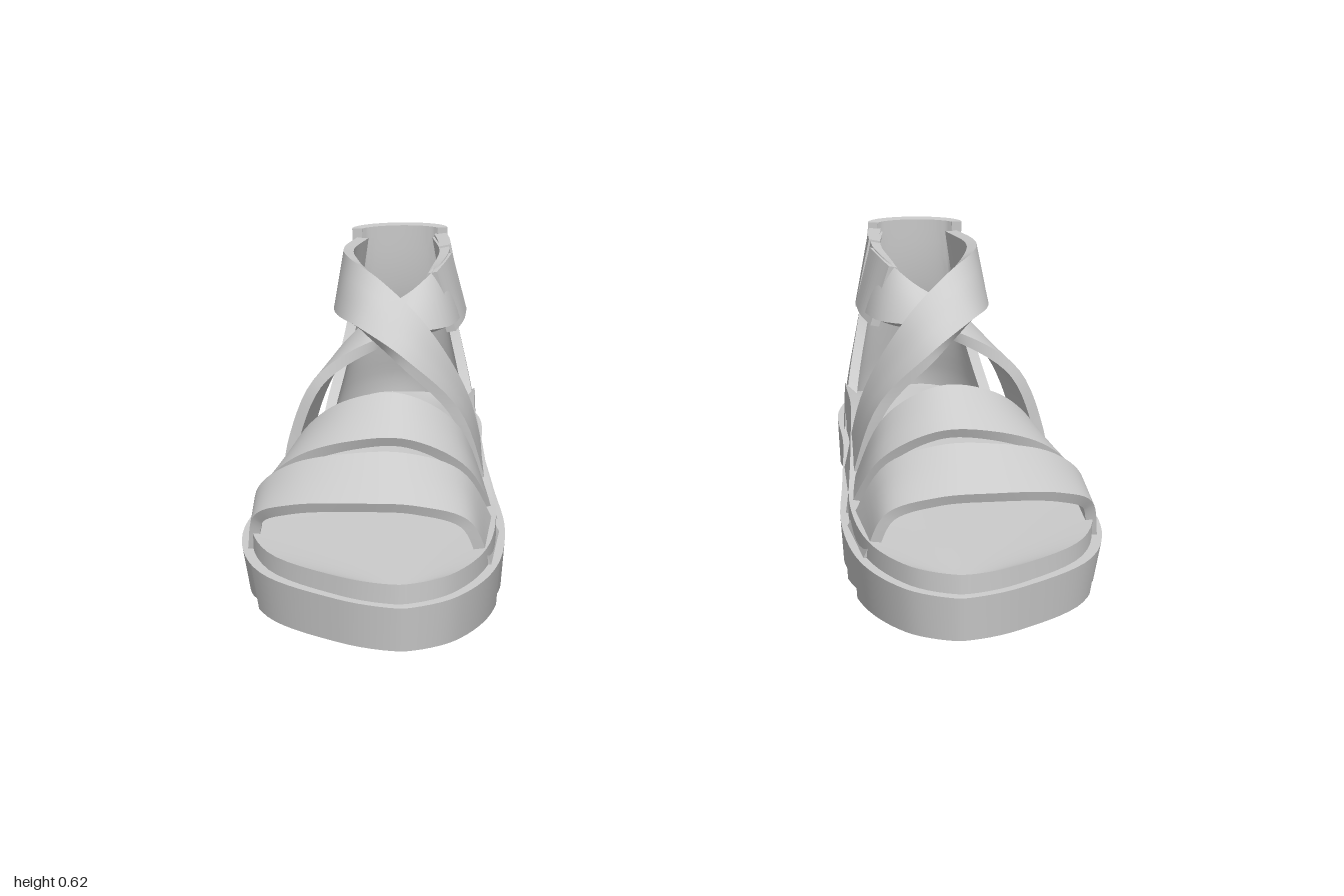
import * as THREE from 'three';
import { toCreasedNormals } from 'three/addons/utils/BufferGeometryUtils.js';

const V = (x, y, z) => new THREE.Vector3(x, y, z);
const lerp = THREE.MathUtils.lerp;
const smooth = THREE.MathUtils.smoothstep;
const material = new THREE.MeshStandardMaterial({ color: 0xcccccc, roughness: 0.7 });

// Joins closed cross-sections (equal, even point counts) into a capped solid
function loft(sections, crease = 0.6) {
  const n = sections[0].length, m = n / 2, last = (sections.length - 1) * n;
  const index = [];
  const quad = (a, b, c, d) => index.push(a, b, c, a, c, d);
  for (let i = 0; i < sections.length - 1; i++) {
    for (let j = 0; j < n; j++) {
      const k = (j + 1) % n;
      quad(i * n + j, i * n + k, (i + 1) * n + k, (i + 1) * n + j);
    }
  }
  for (let k = 0; k < m - 1; k++) {
    quad(k + 1, k, n - 1 - k, n - 2 - k);
    quad(last + k, last + k + 1, last + n - 2 - k, last + n - 1 - k);
  }
  const geo = new THREE.BufferGeometry().setFromPoints(sections.flat());
  geo.setIndex(index);
  return toCreasedNormals(geo.toNonIndexed(), crease);
}

// Thickens a surface f(u, v) inwards; its outside is du x dv
function shell(f, nu, nv, thickness) {
  const e = 0.002, sections = [];
  for (let i = 0; i <= nu; i++) {
    const outer = [], inner = [];
    for (let j = nv; j >= 0; j--) {
      const u = i / nu, v = j / nv, p = f(u, v);
      const du = f(Math.min(u + e, 1), v).sub(f(Math.max(u - e, 0), v));
      const dv = f(u, Math.min(v + e, 1)).sub(f(u, Math.max(v - e, 0)));
      const normal = du.cross(dv).normalize();
      outer.push(p);
      inner.unshift(p.clone().addScaledVector(normal, -thickness));
    }
    sections.push([...outer, ...inner]);
  }
  return loft(sections);
}

// Band between two edge curves
function strap(upper, lower, thickness = 0.025) {
  const a = new THREE.CatmullRomCurve3(upper.map((p) => V(...p)));
  const b = new THREE.CatmullRomCurve3(lower.map((p) => V(...p)));
  return shell((u, v) => a.getPoint(u).lerp(b.getPoint(u), v), 40, 3, thickness);
}

// Sole outline: inner and outer x from heel (t = 0) to toe (t = 1)
const Z0 = -0.003, ZR = 0.707, XC = 0.67;
const curveOf = (xs) => new THREE.SplineCurve(xs.map((x, i) => new THREE.Vector2(x, i)));
const innerEdge = curveOf([0.66, 0.54, 0.465, 0.452, 0.42, 0.388, 0.405, 0.485, 0.6]);
const outerEdge = curveOf([0.66, 0.77, 0.835, 0.89, 0.945, 0.987, 0.925, 0.745, 0.6]);
const outlineZ = (t) => Z0 - ZR * Math.cos(t * Math.PI);
function outline(t, inset) {
  const sx = 1 - inset / 0.28, sz = 1 - inset / ZR;
  return {
    l: XC + (innerEdge.getPoint(t).x - XC) * sx,
    r: XC + (outerEdge.getPoint(t).x - XC) * sx,
    z: outlineZ(t) * sz,
  };
}

// Sole with saw-tooth tread
function soleGeometry() {
  const pitch = 0.115, start = 0.45, teeth = 10, stations = [];
  for (let i = 0; i <= 56; i++) stations.push(i / 56);
  for (let i = 0; i < teeth; i++) {
    for (const d of [0.001, -0.001]) {
      stations.push(Math.acos((Z0 - (start - i * pitch + d)) / ZR) / Math.PI);
    }
  }
  stations.sort((a, b) => a - b);
  return loft(stations.map((t) => {
    const top = outline(t, 0), low = outline(t, 0.012), z = outlineZ(t);
    const f = (start - z) / pitch;
    const y = f > 0 && f < teeth ? 0.022 * (1 - (f - Math.floor(f))) : 0;
    const h = lerp(0.125, 0.105, t);
    return [V(low.l, y, low.z), V(low.r, y, low.z), V(top.r, h, top.z), V(top.l, h, top.z)];
  }), 0.5);
}

// Footbed, raised along the arch
function footbedGeometry() {
  const sections = [], n = 13;
  for (let i = 0; i <= 48; i++) {
    const t = i / 48, o = outline(t, 0.02);
    const arch = smooth(o.z, -0.62, -0.42) * (1 - smooth(o.z, -0.2, 0.2));
    const row = [], floor = [];
    for (let j = 0; j <= n; j++) {
      const s = 1 - (2 * j) / n;
      const y = 0.138 + 0.014 * s * s + 0.07 * arch * Math.max(0, -s) ** 2;
      const x = lerp(o.l, o.r, (s + 1) / 2);
      row.push(V(x, y, o.z));
      floor.unshift(V(x, 0.09, o.z));
    }
    sections.push([...floor, ...row]);
  }
  return loft(sections);
}

// Heel counter: rows of [y, front z, back z, half width, centre x]
function heelGeometry() {
  const rows = [
    [0.1, -0.35, -0.695, 0.198, 0.663], [0.18, -0.41, -0.69, 0.188, 0.662],
    [0.26, -0.475, -0.667, 0.168, 0.659], [0.35, -0.53, -0.64, 0.145, 0.657],
    [0.43, -0.553, -0.618, 0.13, 0.656], [0.52, -0.553, -0.606, 0.122, 0.655],
    [0.615, -0.548, -0.602, 0.12, 0.655],
  ];
  const profile = [1, 2, 3, 4].map((k) => new THREE.SplineCurve(
    rows.map((r) => new THREE.Vector2(r[0], r[k]))));
  return shell((u, v) => {
    const [zf, zb, w, cx] = profile.map((c) => c.getPoint(v).y);
    const a = (u - 0.5) * Math.PI;
    return V(cx - w * Math.sin(a), profile[0].getPoint(v).x, zf - (zf - zb) * Math.cos(a));
  }, 28, 18, 0.025);
}

// All parts of the sandal on the +x side
function sandalParts() {
  return {
    sole: soleGeometry(),
    footbed: footbedGeometry(),
    heelCounter: heelGeometry(),
    toeStrap: strap(
      [[0.97, 0.11, 0.18], [0.955, 0.2, 0.21], [0.87, 0.28, 0.27], [0.73, 0.323, 0.325],
        [0.6, 0.325, 0.335], [0.48, 0.27, 0.31], [0.4, 0.11, 0.28]],
      [[0.965, 0.11, 0.36], [0.945, 0.2, 0.385], [0.86, 0.245, 0.44], [0.7, 0.265, 0.49],
        [0.57, 0.26, 0.5], [0.46, 0.22, 0.49], [0.415, 0.11, 0.475]]),
    vampStrap: strap(
      [[0.93, 0.11, -0.01], [0.905, 0.2, 0.01], [0.84, 0.31, 0.07], [0.74, 0.39, 0.14],
        [0.62, 0.41, 0.165], [0.5, 0.33, 0.14], [0.425, 0.11, 0.07]],
      [[0.965, 0.11, 0.165], [0.945, 0.2, 0.2], [0.86, 0.29, 0.25], [0.73, 0.34, 0.29],
        [0.6, 0.345, 0.3], [0.475, 0.27, 0.27], [0.405, 0.11, 0.2]]),
    // Rises from the outer side, passes under and runs to the inner ankle
    lowerCrossStrap: strap(
      [[0.89, 0.11, -0.19], [0.87, 0.25, -0.185], [0.8, 0.4, -0.17], [0.7, 0.5, -0.17],
        [0.61, 0.55, -0.2], [0.55, 0.59, -0.27], [0.525, 0.6, -0.38], [0.55, 0.59, -0.565]],
      [[0.925, 0.11, -0.01], [0.9, 0.25, -0.005], [0.83, 0.4, 0], [0.7, 0.475, -0.03],
        [0.6, 0.475, -0.1], [0.52, 0.46, -0.2], [0.495, 0.455, -0.35], [0.53, 0.445, -0.565]]),
    // Runs from the outer ankle over the instep to the inner side
    upperCrossStrap: strap(
      [[0.76, 0.59, -0.565], [0.785, 0.605, -0.4], [0.76, 0.615, -0.26], [0.68, 0.59, -0.15],
        [0.57, 0.5, -0.07], [0.475, 0.32, -0.08], [0.435, 0.11, -0.1]],
      [[0.785, 0.435, -0.565], [0.812, 0.46, -0.4], [0.79, 0.49, -0.2], [0.725, 0.505, -0.04],
        [0.61, 0.465, 0.09], [0.49, 0.34, 0.09], [0.425, 0.11, 0.06]]),
    // Fastening flaps on the inner ankle
    rearFlap: strap(
      [[0.522, 0.605, -0.42], [0.528, 0.603, -0.49], [0.54, 0.6, -0.56]],
      [[0.492, 0.43, -0.42], [0.502, 0.43, -0.49], [0.518, 0.43, -0.56]], 0.03),
    frontFlap: strap(
      [[0.55, 0.585, -0.24], [0.53, 0.595, -0.3], [0.517, 0.6, -0.36]],
      [[0.508, 0.435, -0.24], [0.49, 0.445, -0.3], [0.485, 0.455, -0.36]], 0.025),
  };
}

// Mirrors a non-indexed geometry in x and restores the corner order
function mirrored(source) {
  const geo = source.clone();
  for (const { array } of Object.values(geo.attributes)) {
    for (let i = 0; i < array.length; i += 9) {
      for (let k = 0; k < 3; k++) {
        [array[i + 3 + k], array[i + 6 + k]] = [array[i + 6 + k], array[i + 3 + k]];
        array[i + 3 * k] *= -1;
      }
      // the first component is negated after each swap step
    }
  }
  return geo;
}

export function createModel() {
  const model = new THREE.Group();
  model.name = 'sandals';
  const parts = sandalParts();
  for (const side of ['left', 'right']) {
    const sandal = new THREE.Group();
    sandal.name = side + 'Sandal';
    for (const [name, geo] of Object.entries(parts)) {
      const mesh = new THREE.Mesh(side === 'left' ? geo : mirrored(geo), material);
      mesh.name = name;
      sandal.add(mesh);
    }
    model.add(sandal);
  }
  return model;
}
